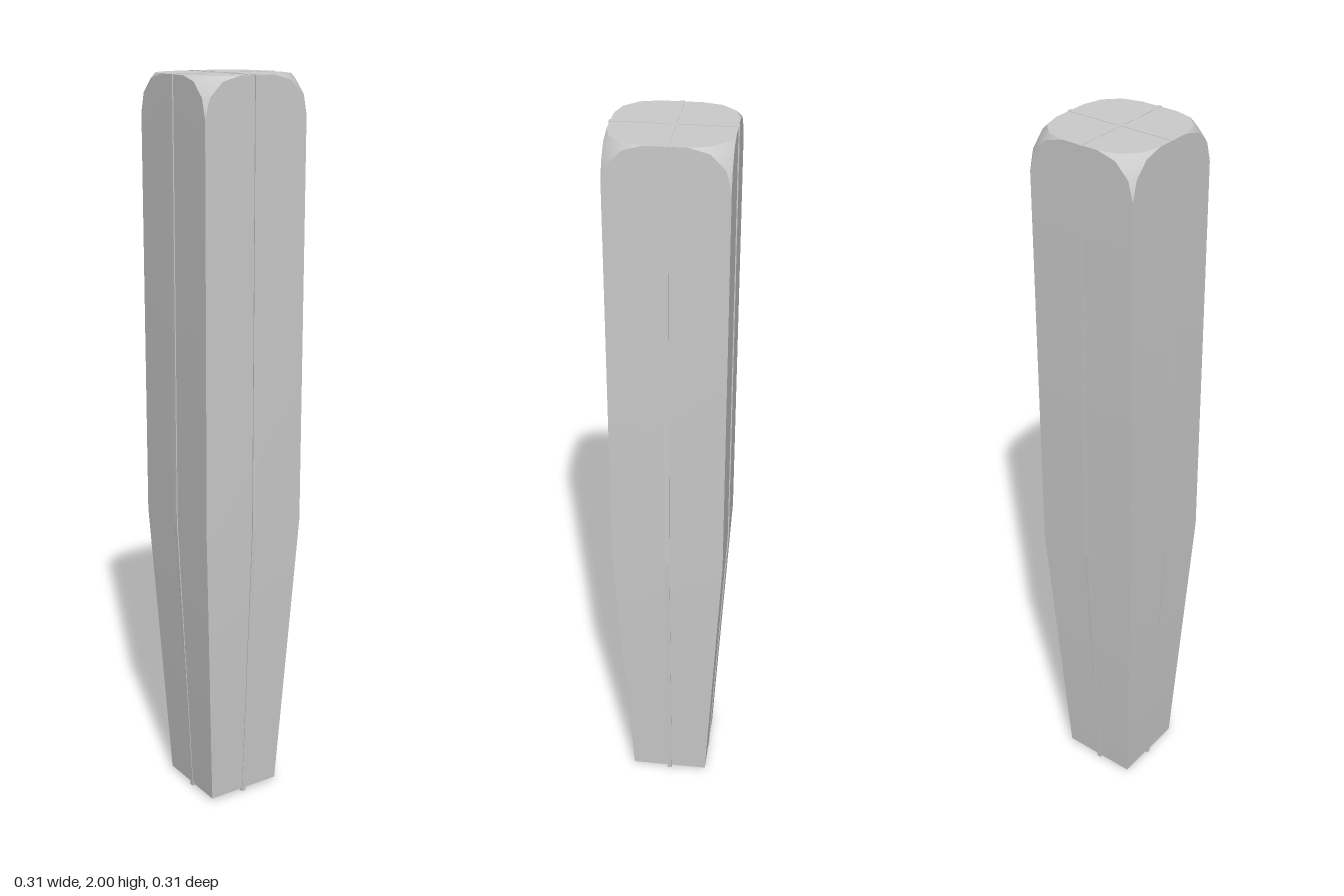
import * as THREE from 'three';
import { ConvexGeometry } from 'three/addons/geometries/ConvexGeometry.js';
import { toCreasedNormals } from 'three/addons/utils/BufferGeometryUtils.js';

const TOP = 1.999, BOTTOM = 0.01, KNEE = 0.82; // heights of the post
const HALF = 0.151, FOOT = 0.108;              // half widths of shaft and foot
const CUT = 0.1;                               // size of the rounded top corners
const SEAM = 0.0125;                           // thickness of the seam plates

export function createModel() {
  const group = new THREE.Group();
  const material = new THREE.MeshStandardMaterial({ color: 0xcccccc });

  // Post: square shaft tapering to the foot, its four top corners rounded off
  const points = [];
  for (const sx of [-1, 1]) {
    for (const sz of [-1, 1]) {
      points.push(new THREE.Vector3(sx * FOOT, BOTTOM, sz * FOOT));
      points.push(new THREE.Vector3(sx * HALF, KNEE, sz * HALF));
      // a point given by its inward distances from the sharp corner
      const inset = (a, b, c) => points.push(
        new THREE.Vector3(sx * (HALF - a), TOP - b, sz * (HALF - c)));
      // quarter arc on each of the three faces that meet here
      for (let i = 0; i < 3; i++) {
        const t = (i / 3) * Math.PI / 2;
        const u = CUT * (1 - Math.cos(t)), v = CUT * (1 - Math.sin(t));
        inset(u, v, 0);
        inset(0, u, v);
        inset(v, 0, u);
      }
      inset(0.0195, 0.0195, 0.0195); // slight bulge in the middle
    }
  }
  const post = new THREE.Mesh(
    toCreasedNormals(new ConvexGeometry(points), THREE.MathUtils.degToRad(35)), material);
  post.name = 'post';
  group.add(post);

  // Seams: two crossing thin plates standing just proud of the faces
  const half = [[FOOT + 0.001, 0], [HALF + 0.003, KNEE], [HALF + 0.003, 2]];
  const outline = [...half, ...half.map(([x, y]) => [-x, y]).reverse()];
  const shape = new THREE.Shape(outline.map(([x, y]) => new THREE.Vector2(x, y)));
  const plate = new THREE.ExtrudeGeometry(shape, { depth: SEAM, bevelEnabled: false });
  plate.translate(0, 0, -SEAM / 2);
  ['sideSeam', 'frontSeam'].forEach((name, i) => {
    const seam = new THREE.Mesh(plate, material);
    seam.name = name;
    seam.rotation.y = i * Math.PI / 2;
    group.add(seam);
  });

  return group;
}
